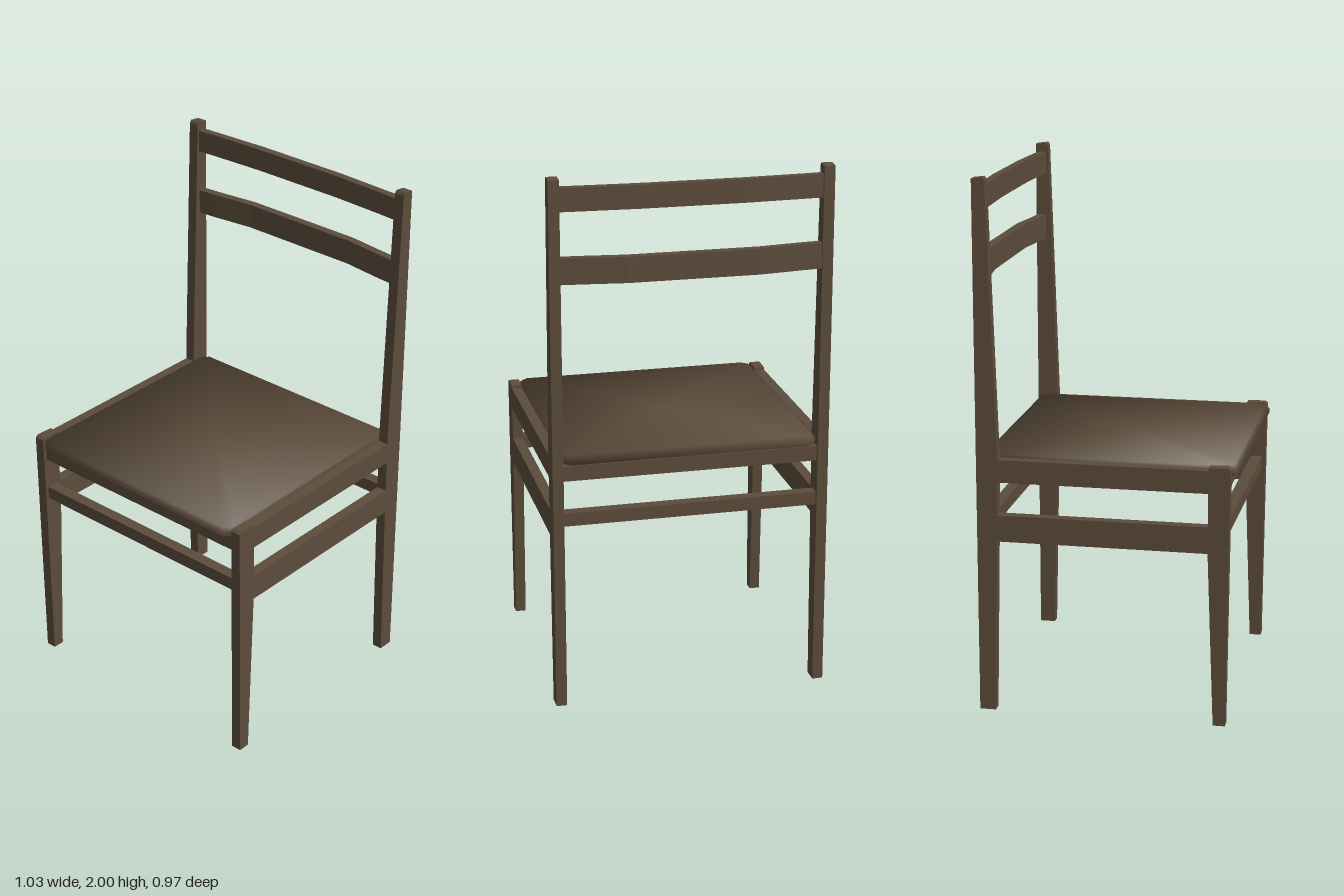
import * as THREE from 'three';

const POST_IN = 0.477, POST_OUT = 0.517;

// Prism from [a, b] outline points, extruded by depth
function prism(points, depth) {
  const shape = new THREE.Shape(points.map(([a, b]) => new THREE.Vector2(a, b)));
  return new THREE.ExtrudeGeometry(shape, { depth, bevelEnabled: false });
}

// Thin cushion with cut corners; rounded normals give it a soft, padded look
function seatGeometry() {
  const cx = POST_IN, front = 0.484, back = -0.455, cut = 0.025;
  const mid = (front + back) / 2, halfZ = (front - back) / 2;
  const outline = [
    [cx - cut, front], [cx, front - cut], [cx, back + cut], [cx - cut, back],
    [-cx + cut, back], [-cx, back + cut], [-cx, front - cut], [-cx + cut, front],
  ];
  const layers = [[0.938, 0.012, -1], [0.95, 0, -0.3], [0.968, 0, 0.3], [0.98, 0.01, 1]];
  const pos = [], nor = [], idx = [], n = outline.length;
  const add = (x, y, z, ny) => {
    pos.push(x, y, z);
    const v = new THREE.Vector3(x / cx, ny, (z - mid) / halfZ).normalize();
    nor.push(v.x, v.y, v.z);
  };
  for (const [y, inset, ny] of layers)
    for (const [x, z] of outline)
      add(x * (1 - inset / cx), y, mid + (z - mid) * (1 - inset / halfZ), ny);
  for (let l = 0; l < layers.length - 1; l++)
    for (let i = 0; i < n; i++) {
      const a = l * n + i, b = l * n + (i + 1) % n;
      idx.push(a, b, b + n, a, b + n, a + n);
    }
  // Outline runs from front to back on +x: counter-clockwise seen from above
  const top = (layers.length - 1) * n, c = layers.length * n;
  add(0, 0.938, mid, -1);
  add(0, 0.98, mid, 1);
  for (let i = 0; i < n; i++) {
    const j = (i + 1) % n;
    idx.push(c, j, i, c + 1, top + i, top + j);
  }
  const g = new THREE.BufferGeometry();
  g.setAttribute('position', new THREE.Float32BufferAttribute(pos, 3));
  g.setAttribute('normal', new THREE.Float32BufferAttribute(nor, 3));
  g.setIndex(idx);
  return g;
}

export function createModel() {
  const group = new THREE.Group();
  group.name = 'chair';
  const wood = new THREE.MeshStandardMaterial({ color: 0x5c4c3b });
  wood.name = 'dark brown wood';

  const add = (name, geometry) => {
    const mesh = new THREE.Mesh(geometry, wood);
    mesh.name = name;
    group.add(mesh);
    return mesh;
  };
  const box = (name, x0, x1, y0, y1, z0, z1) =>
    add(name, new THREE.BoxGeometry(x1 - x0, y1 - y0, z1 - z0))
      .position.set((x0 + x1) / 2, (y0 + y1) / 2, (z0 + z1) / 2);

  // Side profiles as [z, y]
  const frontLeg = [[0.415, 0], [0.46, 0], [0.47, 0.975], [0.46, 0.983], [0.39, 0.98], [0.39, 0.66]];
  const backPost = [[-0.466, 0], [-0.406, 0], [-0.391, 0.66], [-0.386, 0.98], [-0.418, 1.99], [-0.425, 2], [-0.466, 1.995]];

  for (const [side, outer] of [['left', POST_OUT], ['right', -POST_IN]]) {
    for (const [part, profile] of [['FrontLeg', frontLeg], ['BackPost', backPost]])
      add(side + part, prism(profile, POST_OUT - POST_IN).rotateY(-Math.PI / 2).translate(outer, 0, 0));
    const x0 = outer - (POST_OUT - POST_IN);
    box(side + 'SeatRail', x0, outer, 0.885, 0.97, -0.392, 0.392);
    box(side + 'Stretcher', x0, outer, 0.66, 0.76, -0.392, 0.392);
  }

  // Cross rails and stretchers between the legs
  for (const [end, z] of [['front', 0.432], ['back', -0.43]]) {
    box(end + 'SeatRail', -POST_IN, POST_IN, 0.885, 0.942, z - 0.024, z + 0.024);
    box(end + 'Stretcher', -POST_IN, POST_IN, 0.71, 0.76, z - 0.022, z + 0.022);
  }

  add('seat', seatGeometry());

  // Bowed back slats: plan outline from [x, front z, back z], mirrored
  const slat = (name, y0, y1, half) => {
    const rows = [...half.map(([x, f, b]) => [-x, f, b]), ...half.slice().reverse()];
    const points = [
      ...rows.map(([x, f]) => [x, -f]),
      ...rows.slice().reverse().map(([x, , b]) => [x, -b]),
    ];
    add(name, prism(points, y1 - y0).rotateX(-Math.PI / 2).translate(0, y0, 0));
  };
  slat('topSlat', 1.88, 1.965, [[0.48, -0.425, -0.457], [0.4, -0.431, -0.461], [0.19, -0.44, -0.471]]);
  slat('lowerSlat', 1.62, 1.715, [[0.48, -0.428, -0.459], [0.4, -0.435, -0.467], [0.24, -0.455, -0.487]]);

  return group;
}
